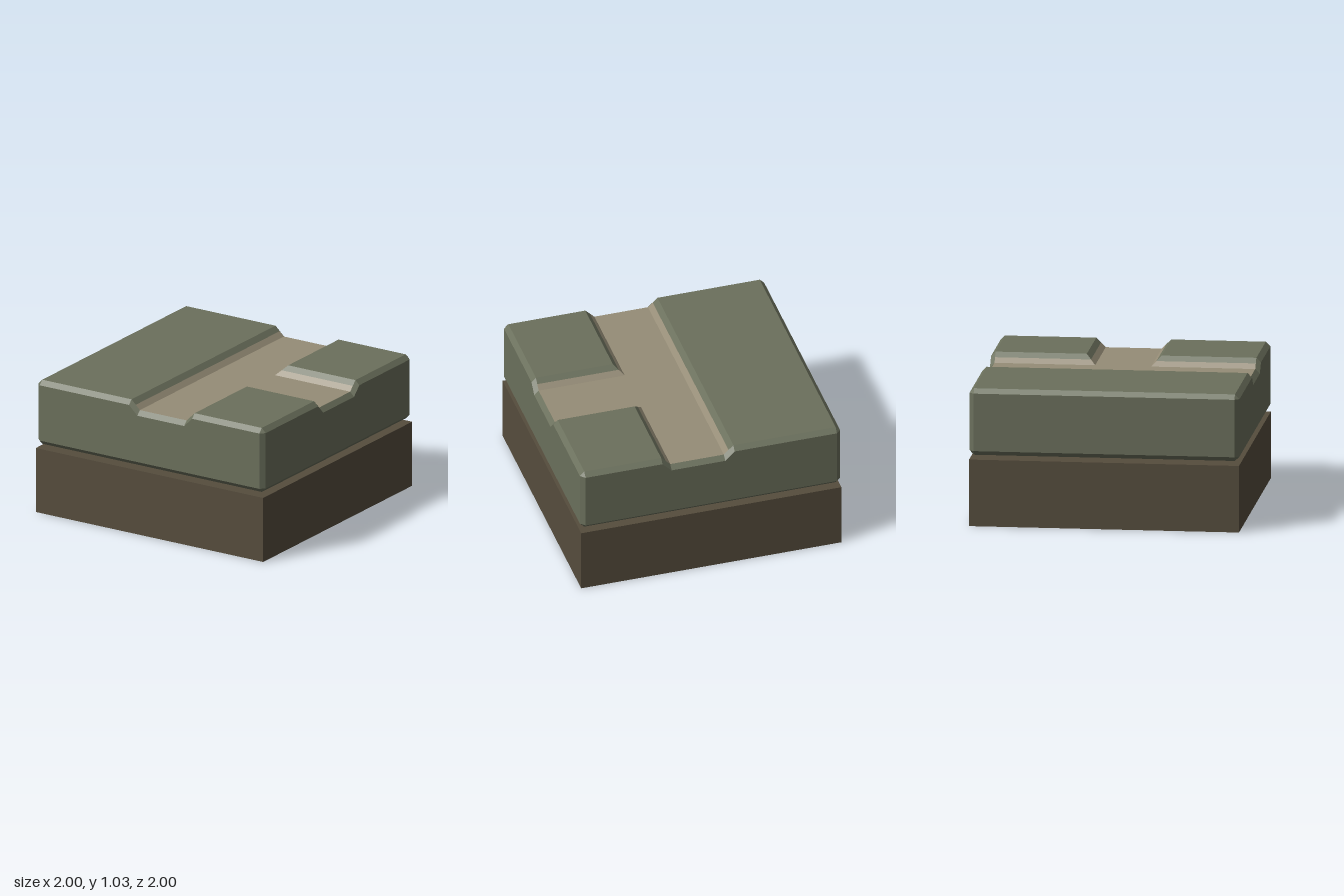
import * as THREE from 'three';

const BEVEL = 0.034, IN = 1 - BEVEL;
const TOP = 1.03, FLOOR = 0.96, BOTTOM = 0.53;
// Grid lines follow the bevels and the groove walls
const XS = [-1, -IN, -0.18, -0.143, -0.107, 0.305, 0.34, 0.375, IN, 1];
const ZS = [-1, -IN, -0.29, -0.255, -0.22, 0.195, 0.23, 0.265, IN, 1];

const clamp01 = (v) => Math.min(1, Math.max(0, v));
const inset = (v) => Math.min(IN, Math.max(-IN, v));

// 0 on the groove floor, 1 on the raised blocks
function rise(x, z) {
  const left = clamp01((-0.107 - x) / 0.073);
  const right = clamp01((x - 0.305) / 0.07);
  const ends = Math.max(clamp01((z - 0.195) / 0.07), clamp01((-0.22 - z) / 0.07));
  return Math.max(left, Math.min(right, ends));
}

// Point on the upper surface; the outer ring drops by the bevel
function surface(x, z) {
  const rim = Math.abs(x) === 1 || Math.abs(z) === 1;
  const y = FLOOR + (TOP - FLOOR) * rise(inset(x), inset(z)) - (rim ? BEVEL : 0);
  return [x, y, z];
}

// Quad split along the diagonal with the greater height change
function quad(out, a, b, c, d) {
  if (Math.abs(a[1] - c[1]) >= Math.abs(b[1] - d[1])) out.push(...a, ...b, ...c, ...a, ...c, ...d);
  else out.push(...a, ...b, ...d, ...b, ...c, ...d);
}

function facetMesh(name, positions, color) {
  const geo = new THREE.BufferGeometry();
  geo.setAttribute('position', new THREE.Float32BufferAttribute(positions, 3));
  geo.computeVertexNormals();
  const mesh = new THREE.Mesh(geo, new THREE.MeshStandardMaterial({ color, flatShading: true }));
  mesh.name = name;
  return mesh;
}

export function createModel() {
  const group = new THREE.Group();
  group.name = 'pathTile';
  const slab = [], path = [];
  const n = XS.length - 1, m = ZS.length - 1;

  // Upper surface with the T-shaped groove
  for (let i = 0; i < n; i++) {
    for (let j = 0; j < m; j++) {
      const corners = [[i, j], [i, j + 1], [i + 1, j + 1], [i + 1, j]];
      const pts = corners.map(([a, b]) => surface(XS[a], ZS[b]));
      const rimX = i === 0 || i === n - 1, rimZ = j === 0 || j === m - 1;
      if (rimX && rimZ) {
        // Cut-off slab corner
        slab.push(...pts.filter((p) => Math.abs(p[0]) < 1 || Math.abs(p[2]) < 1).flat());
        continue;
      }
      const low = Math.max(...corners.map(([a, b]) => rise(XS[a], ZS[b]))) < 0.6;
      quad(low && !rimX && !rimZ ? path : slab, ...pts);
    }
  }

  // Outline, counter-clockwise from above, without the sharp corners
  const xi = XS.slice(1, -1), zi = ZS.slice(1, -1);
  const outline = [
    ...xi.map((x) => [x, 1]),
    ...[...zi].reverse().map((z) => [1, z]),
    ...[...xi].reverse().map((x) => [x, -1]),
    ...zi.map((z) => [-1, z]),
  ];

  // Side walls and lower bevel
  const foot = ([x, z]) => [x, BOTTOM + BEVEL, z];
  const under = ([x, z]) => [inset(x), BOTTOM, inset(z)];
  outline.forEach((p, k) => {
    const q = outline[(k + 1) % outline.length];
    slab.push(...foot(p), ...foot(q), ...surface(...q), ...foot(p), ...surface(...q), ...surface(...p));
    slab.push(...under(p), ...foot(q), ...foot(p));
    const pu = under(p), qu = under(q);
    if (pu[0] !== qu[0] || pu[2] !== qu[2]) slab.push(...pu, ...qu, ...foot(q));
  });

  // Underside of the slab
  quad(slab, [-IN, BOTTOM, -IN], [IN, BOTTOM, -IN], [IN, BOTTOM, IN], [-IN, BOTTOM, IN]);

  group.add(facetMesh('slab', slab, 0x6b705c), facetMesh('path', path, 0x968d77));

  // Plain base block
  const base = new THREE.Mesh(
    new THREE.BoxGeometry(2, 0.5, 2),
    new THREE.MeshStandardMaterial({ color: 0x564d3d, flatShading: true })
  );
  base.name = 'base';
  base.position.y = 0.25;
  group.add(base);

  return group;
}
